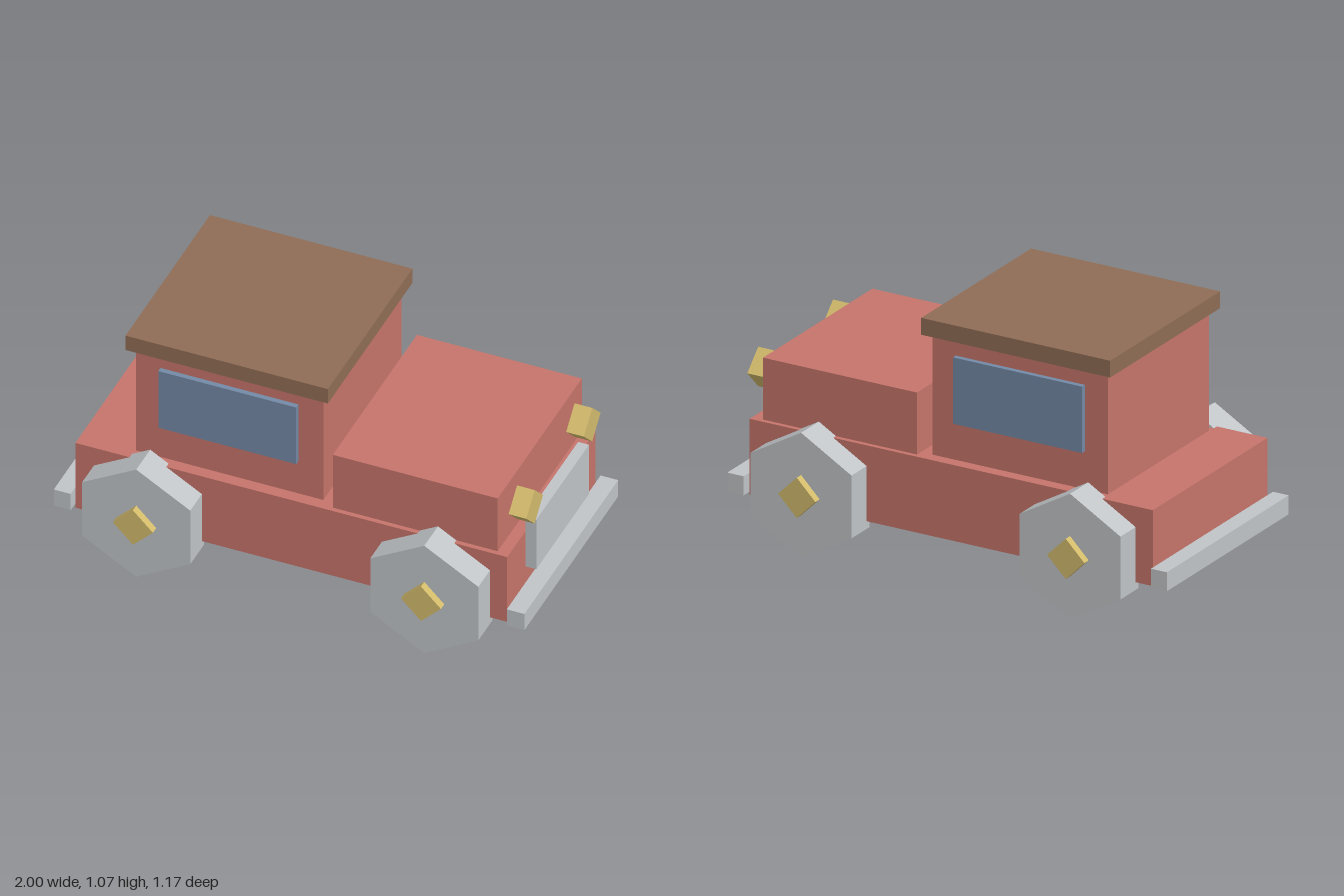
import * as THREE from 'three';

export function createModel() {
  const car = new THREE.Group();
  car.name = 'boxyCar';

  const material = (name, color) => {
    const m = new THREE.MeshStandardMaterial({ color, flatShading: true });
    m.name = name;
    return m;
  };
  const red = material('red paint', 0xc5746a);
  const brown = material('brown roof', 0x8f6d55);
  const blue = material('blue glass', 0x7389a5);
  const grey = material('pale grey', 0xc0c4c7);
  const gold = material('gold', 0xd3bb6c);

  const add = (name, geometry, mat) => {
    const mesh = new THREE.Mesh(geometry, mat);
    mesh.name = name;
    car.add(mesh);
    return mesh;
  };

  // Box given by its limits on each axis
  const box = (name, mat, [x0, x1], [y0, y1], [z0, z1]) =>
    add(name, new THREE.BoxGeometry(x1 - x0, y1 - y0, z1 - z0), mat)
      .position.set((x0 + x1) / 2, (y0 + y1) / 2, (z0 + z1) / 2);

  // Bodywork; the car drives towards +x
  box('chassis', red, [-0.92, 0.915], [0.165, 0.485], [-0.435, 0.435]);
  box('cabin', red, [-0.685, 0.112], [0.485, 0.997], [-0.385, 0.385]);
  box('hood', red, [0.165, 0.866], [0.485, 0.746], [-0.415, 0.415]);
  box('roof', brown, [-0.715, 0.145], [0.995, 1.066], [-0.417, 0.417]);

  // Grille and bumpers
  box('grille', grey, [0.917, 0.963], [0.315, 0.559], [-0.26, 0.26]);
  box('frontBumper', grey, [0.925, 1.0], [0.17, 0.25], [-0.463, 0.463]);
  box('rearBumper', grey, [-1.0, -0.928], [0.17, 0.25], [-0.463, 0.463]);

  for (const side of [1, -1]) {
    const label = side > 0 ? 'Left' : 'Right';

    // Side window panel standing proud of the cabin
    const zs = side > 0 ? [0.38, 0.407] : [-0.407, -0.38];
    box('window' + label, blue, [-0.58, 0.006], [0.645, 0.925], zs);

    // Diamond headlight
    const lamp = new THREE.CylinderGeometry(0.083, 0.083, 0.075, 4).rotateZ(Math.PI / 2);
    add('headlight' + label, lamp, gold).position.set(0.929, 0.642, side * 0.284);

    // Hexagonal wheels with diamond hubs
    for (const x of [0.612, -0.612]) {
      const end = x > 0 ? 'front' : 'rear';
      const wheel = new THREE.CylinderGeometry(0.265, 0.265, 0.138, 6).rotateX(Math.PI / 2);
      add(end + 'Wheel' + label, wheel, grey).position.set(x, 0.265, side * 0.481);
      const hub = new THREE.CylinderGeometry(0.085, 0.085, 0.06, 4).rotateX(Math.PI / 2);
      add(end + 'Hub' + label, hub, gold).position.set(x, 0.267, side * 0.553);
    }
  }
  return car;
}
